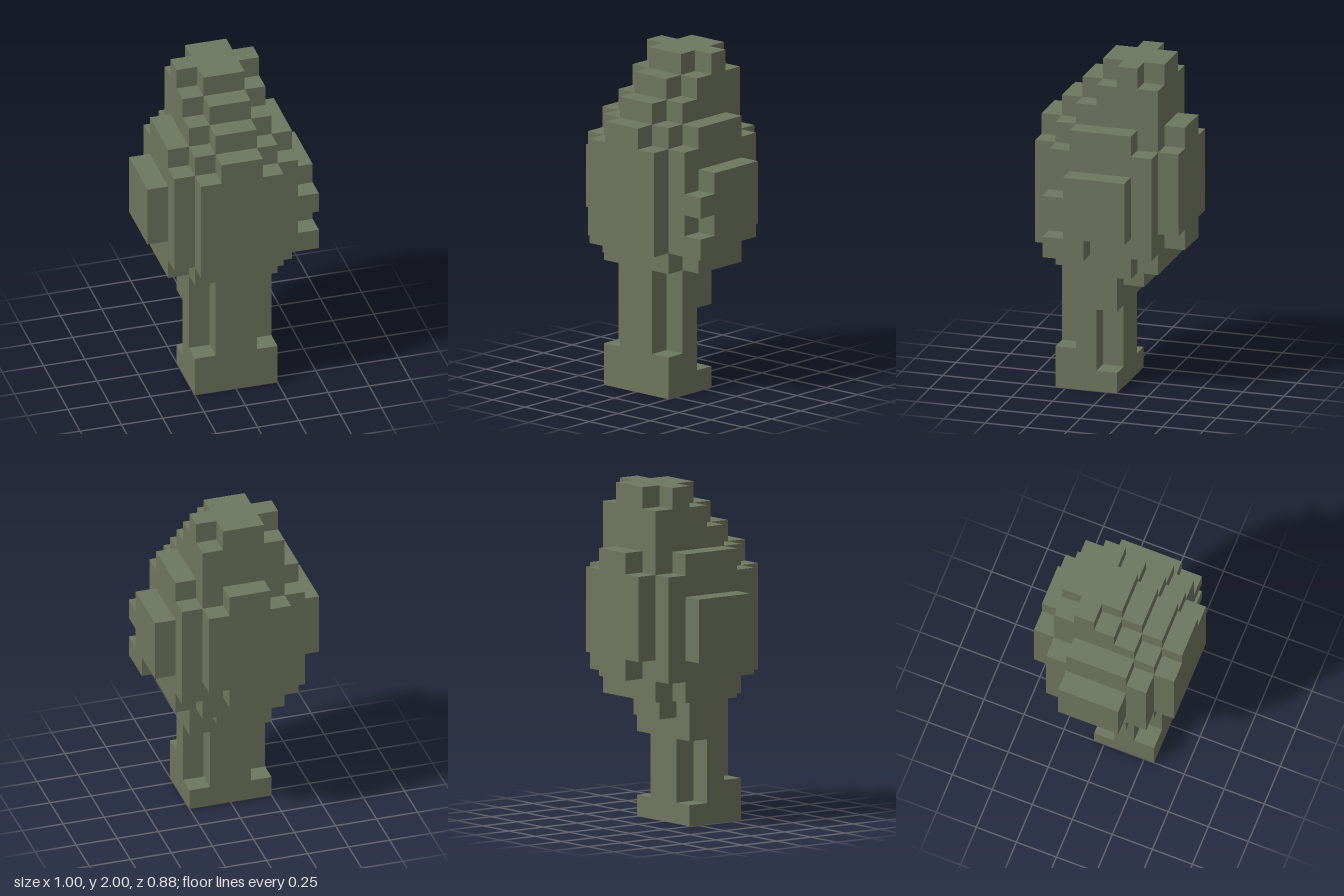
import * as THREE from 'three';

const U = 0.125; // one block
const olive = new THREE.MeshStandardMaterial({ color: 0x6e775f });
olive.name = 'olive';

export function createModel() {
  const model = new THREE.Group();
  model.name = 'blockFigure';

  const part = (name) => {
    const g = new THREE.Group();
    g.name = name;
    model.add(g);
    return g;
  };

  // Box between block coordinates: x from -4 to 4, y from 0 to 16, z from 0 (back) to 7 (front)
  const box = (group, name, [x0, x1], [y0, y1], [z0, z1]) => {
    const mesh = new THREE.Mesh(
      new THREE.BoxGeometry((x1 - x0) * U, (y1 - y0) * U, (z1 - z0) * U), olive);
    mesh.position.set((x0 + x1) / 2 * U, (y0 + y1) / 2 * U, ((z0 + z1) / 2 - 3.5) * U);
    mesh.name = name;
    group.add(mesh);
  };
  const wide = [-2, 2], narrow = [-1, 1];

  // Post with cut corners, on a square foot
  const post = part('post');
  box(post, 'foot', wide, [0, 1], [3, 6]);
  box(post, 'footStep', wide, [1, 2], [4, 6]);
  box(post, 'postCore', wide, [2, 6], [4, 5]);
  box(post, 'postFront', narrow, [2, 6], [5, 6]);
  box(post, 'postBack', narrow, [1, 4], [3, 4]);
  box(post, 'postCollar', wide, [4, 6], [3, 4]);
  box(post, 'backTab', narrow, [5, 6], [2, 3]);

  // Head core with mirrored flanks
  const head = part('head');
  box(head, 'headCore', wide, [6, 13], [1, 6]);
  for (const [side, x] of [['left', [2, 3]], ['right', [-3, -2]]]) {
    box(head, side + 'Flank', x, [6, 13], [2, 5]);
    box(head, side + 'FlankFront', x, [7, 12], [5, 6]);
    box(head, side + 'FlankBack', x, [7, 12], [1, 2]);
  }

  // Raised panels on front and back
  const panels = part('panels');
  box(panels, 'frontPanel', wide, [7, 12], [6, 7]);
  box(panels, 'frontPanelTop', narrow, [12, 13], [6, 7]);
  box(panels, 'backPanel', wide, [8, 12], [0, 1]);
  box(panels, 'backPanelTop', narrow, [12, 13], [0, 1]);
  box(panels, 'backPanelBottom', narrow, [7, 8], [0, 1]);

  // Side panels; the left one has a finger and a lower ledge
  const sides = part('sidePanels');
  box(sides, 'rightPanel', [-4, -3], [8, 11], [2, 5]);
  box(sides, 'leftPanel', [3, 4], [8, 11], [2, 5]);
  box(sides, 'leftFinger', [3, 4], [9, 10], [5, 6]);
  box(sides, 'leftLedge', [3, 4], [7, 8], [4, 6]);

  // Crown stepping back towards the top
  const crown = part('crown');
  for (let s = 0; s < 2; s++) {
    box(crown, 'crownStep', wide, [13 + s, 14 + s], [1, 5 - s]);
    box(crown, 'crownNose', narrow, [13 + s, 14 + s], [5 - s, 6 - s]);
  }
  box(crown, 'crownTop', wide, [15, 16], [2, 3]);
  box(crown, 'crownTopFront', narrow, [15, 16], [3, 4]);
  box(crown, 'crownTopBack', narrow, [15, 16], [1, 2]);

  return model;
}
